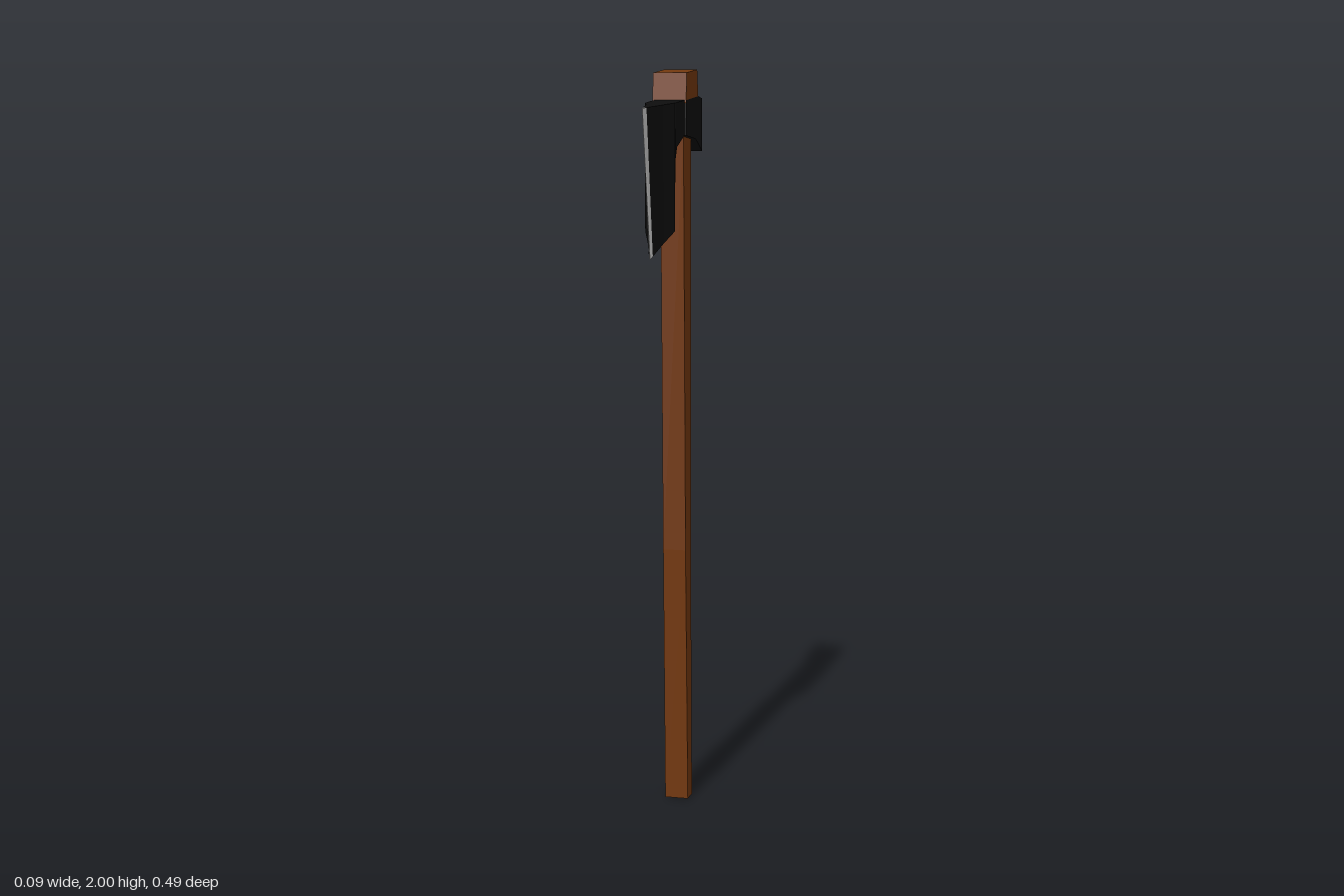
import * as THREE from 'three';

const wood = new THREE.MeshStandardMaterial({ color: 0x73380e, flatShading: true });
const iron = new THREE.MeshStandardMaterial({ color: 0x0d0d0d, flatShading: true });
const steel = new THREE.MeshStandardMaterial({ color: 0xcccccc, flatShading: true });

// Lofts rectangular sections, each given as [zA, yA, zB, yB, halfWidth].
function loft(name, material, sections) {
  const rings = sections.map(([zA, yA, zB, yB, w]) => [
    [w, yA, zA], [-w, yA, zA], [-w, yB, zB], [w, yB, zB],
  ]);
  const positions = [];
  const quad = (a, b, c, d) => positions.push(...a, ...b, ...c, ...a, ...c, ...d);
  for (let r = 0; r < rings.length - 1; r++) {
    const a = rings[r], b = rings[r + 1];
    for (let i = 0; i < 4; i++) {
      const j = (i + 1) % 4;
      quad(a[i], a[j], b[j], b[i]);
    }
  }
  const first = rings[0], last = rings[rings.length - 1];
  quad(first[3], first[2], first[1], first[0]);
  quad(...last);
  const geometry = new THREE.BufferGeometry();
  geometry.setAttribute('position', new THREE.Float32BufferAttribute(positions, 3));
  geometry.computeVertexNormals();
  const mesh = new THREE.Mesh(geometry, material);
  mesh.name = name;
  return mesh;
}

export function createModel() {
  const axe = new THREE.Group();
  axe.name = 'axe';

  // Slightly bent shaft, bottom to top (back point, then front point)
  axe.add(loft('handle', wood, [
    [-0.196, 0.003, -0.143, 0.007, 0.032],
    [-0.18, 0.72, -0.113, 0.72, 0.031],
    [-0.168, 1.84, -0.08, 1.84, 0.031],
  ]));

  // Flared end of the shaft above the eye
  axe.add(loft('handleTop', wood, [
    [-0.168, 1.84, -0.08, 1.84, 0.031],
    [-0.199, 1.915, -0.049, 1.915, 0.0445],
    [-0.183, 2.0, -0.057, 1.99, 0.0445],
  ]));

  // Poll and eye, back to front (top point, then bottom point)
  axe.add(loft('poll', iron, [
    [-0.243, 1.925, -0.243, 1.787, 0.045],
    [-0.197, 1.931, -0.165, 1.82, 0.045],
    [-0.05, 1.92, -0.05, 1.83, 0.045],
  ]));

  // Neck curving down into the bearded blade
  const bevel = [0.218, 1.902, 0.153, 1.532, 0.005];
  axe.add(loft('blade', iron, [
    [-0.05, 1.92, -0.05, 1.83, 0.04],
    [0, 1.917, 0.033, 1.803, 0.04],
    [0.052, 1.913, 0.053, 1.768, 0.04],
    [0.052, 1.913, 0.053, 1.59, 0.039],
    [0.115, 1.908, 0.1, 1.562, 0.021],
    bevel,
  ]));

  // Sharpened cutting edge
  axe.add(loft('cuttingEdge', steel, [bevel, [0.243, 1.9, 0.164, 1.525, 0.0004]]));

  return axe;
}
